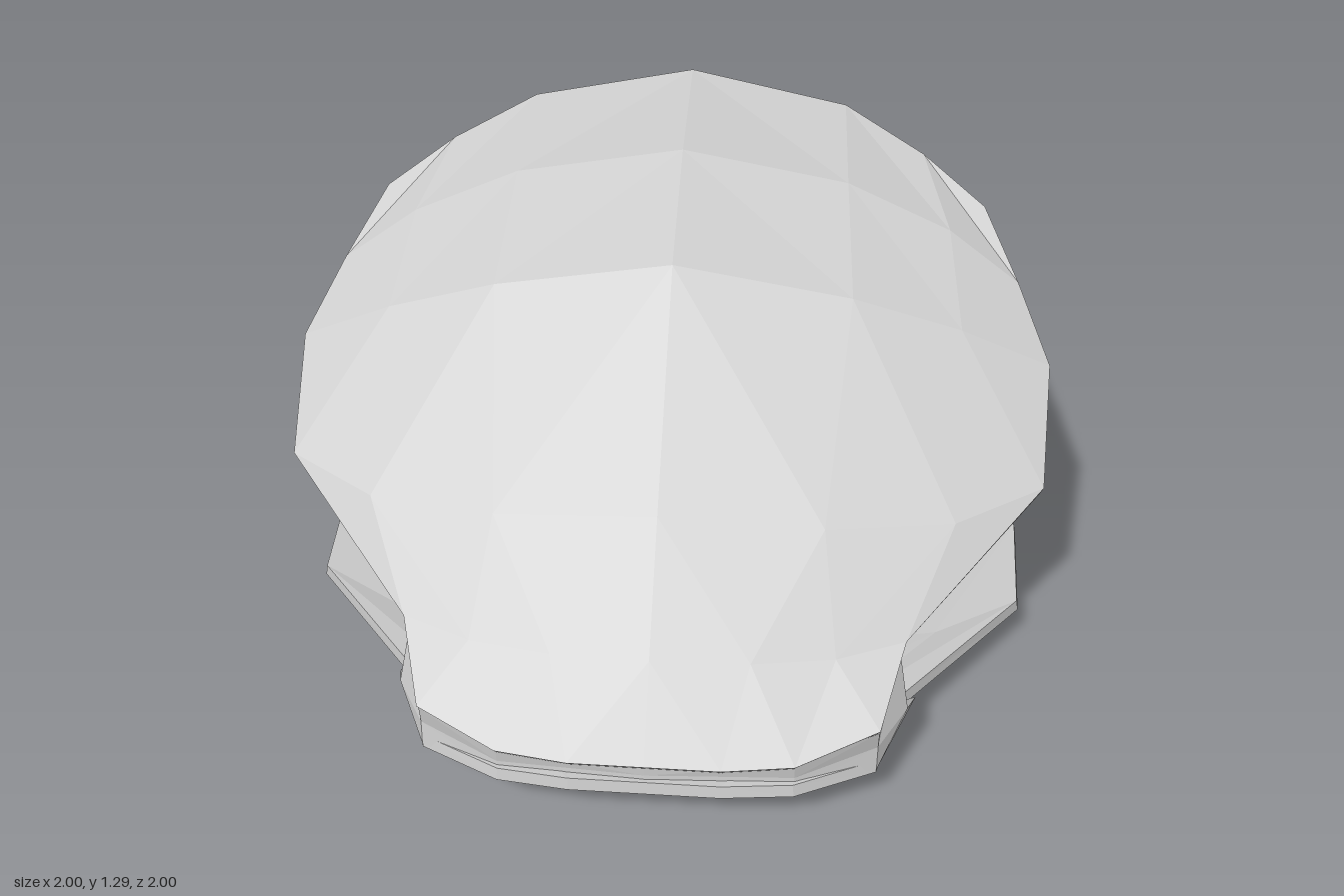
import * as THREE from 'three';

const material = new THREE.MeshStandardMaterial({ color: 0xcccccc, flatShading: true, roughness: 0.8 });

// Half cross-sections of one valve from hinge to lip: [x, distance from hinge, bulge]
const valveRows = [
  [[0, 0, 0], [0.19, 0, 0], [0.37, 0.02, 0], [0.575, 0.12, 0]],
  [[0, 0.25, 0.06], [0.25, 0.26, 0.045], [0.46, 0.29, 0.02], [0.635, 0.35, 0]],
  [[0, 0.6, 0.136], [0.42, 0.6, 0.1], [0.75, 0.65, 0.05], [0.98, 0.775, 0]],
  [[0, 1.25, 0.243], [0.47, 1.21, 0.17], [0.76, 1.17, 0.09], [1, 1.12, 0]],
  [[0, 1.64, 0.163], [0.45, 1.58, 0.12], [0.73, 1.48, 0.06], [0.92, 1.36, 0]],
  [[0, 2, 0], [0.44, 1.9, 0], [0.66, 1.75, 0], [0.83, 1.59, 0]],
];

function meshFromQuads(name, quads, flip = false) {
  const positions = [];
  for (const [a, b, c, d, otherDiagonal] of quads) {
    const tris = otherDiagonal ? [[a, b, d], [b, c, d]] : [[a, b, c], [a, c, d]];
    for (const [p, q, r] of tris) positions.push(...p, ...(flip ? r : q), ...(flip ? q : r));
  }
  const geometry = new THREE.BufferGeometry();
  geometry.setAttribute('position', new THREE.Float32BufferAttribute(positions, 3));
  geometry.computeVertexNormals();
  const mesh = new THREE.Mesh(geometry, material);
  mesh.name = name;
  return mesh;
}

// Closed valve: bulged outside, parallel inside and a rim band; side is 1 (up) or -1 (down)
function makeValve(name, side, hingeY, tilt, depth) {
  const thickness = 0.035;
  const cos = Math.cos(tilt), sin = Math.sin(tilt);
  const place = (x, s, v) => [x, hingeY + s * sin + side * v * cos, 1 - s * cos + side * v * sin];
  const fullRow = (row) => [...row.slice(1).reverse().map(([x, s, v]) => [-x, s, v]), ...row];
  const outer = valveRows.map((row) => fullRow(row).map(([x, s, v]) => place(x, s, v * depth)));
  const inner = valveRows.map((row) =>
    fullRow(row).map(([x, s, v]) => place(x * 0.993, s * 0.988 + 0.005, v * depth - thickness)));
  const last = outer.length - 1, cols = outer[0].length - 1;
  const quads = [];
  for (let i = 0; i < last; i++) {
    for (let j = 0; j < cols; j++) {
      const corners = (g) => [g[i][j], g[i][j + 1], g[i + 1][j + 1], g[i + 1][j]];
      const right = j >= cols / 2;
      quads.push([...corners(outer), right]);
      const [a, b, c, d] = corners(inner);
      quads.push([d, c, b, a, right]);
    }
  }
  // Rim band around the border of the grid
  const border = [];
  for (let j = 0; j < cols; j++) border.push([0, j]);
  for (let i = 0; i < last; i++) border.push([i, cols]);
  for (let j = cols; j > 0; j--) border.push([last, j]);
  for (let i = last; i > 0; i--) border.push([i, 0]);
  border.forEach(([i, j], k) => {
    const [m, n] = border[(k + 1) % border.length];
    quads.push([inner[i][j], inner[m][n], outer[m][n], outer[i][j]]);
  });
  return meshFromQuads(name, quads, side < 0);
}

// Ligament joining the valves: columns (bottom, middle, top) from the outside round to the inside
function makeHinge() {
  const half = [
    [[0, 0.17, 0.985], [0, 0.21, 0.98], [0, 0.25, 0.98]],
    [[0.37, 0.17, 0.965], [0.37, 0.21, 0.96], [0.37, 0.255, 0.965]],
    [[0.575, 0.17, 0.88], [0.575, 0.24, 0.87], [0.575, 0.3, 0.88]],
    [[0.68, 0.18, 0.63], [0.65, 0.26, 0.75], [0.62, 0.42, 0.7]],
    [[0.48, 0.15, 0.7], [0.48, 0.24, 0.82], [0.48, 0.35, 0.83]],
    [[0, 0.14, 0.74], [0, 0.23, 0.86], [0, 0.35, 0.87]],
  ];
  const mirrored = half.slice(1, -1).reverse().map((col) => col.map(([x, y, z]) => [-x, y, z]));
  const loop = [...half, ...mirrored];
  const quads = [];
  loop.forEach((p, k) => {
    const q = loop[(k + 1) % loop.length];
    for (let r = 0; r < 2; r++) quads.push([p[r], q[r], q[r + 1], p[r + 1], k >= half.length - 1]);
  });
  return meshFromQuads('hinge', quads);
}

// Faceted pearl standing on one vertex
function makePearl() {
  const geometry = new THREE.IcosahedronGeometry(0.29, 0);
  geometry.rotateZ(-Math.atan(2 / (1 + Math.sqrt(5))));
  const pearl = new THREE.Mesh(geometry, material);
  pearl.name = 'pearl';
  pearl.position.y = 0.412;
  return pearl;
}

export function createModel() {
  const group = new THREE.Group();
  group.name = 'clam';
  group.add(
    makeValve('lowerShell', -1, 0.165, -0.0375, 0.47),
    makeValve('upperShell', 1, 0.26, 0.545, 1),
    makeHinge(),
    makePearl(),
  );
  return group;
}
